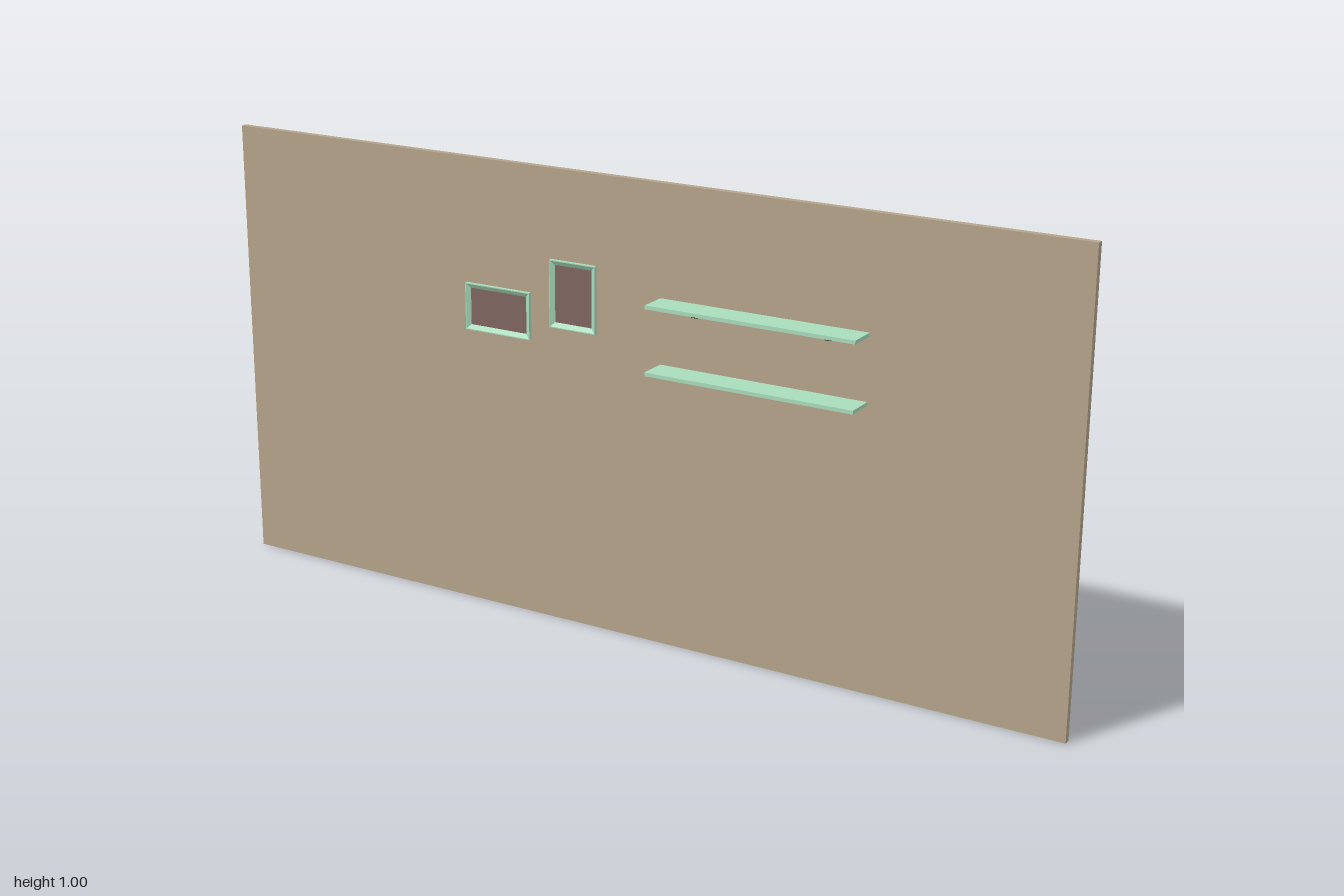
import * as THREE from 'three';

const mat = (color, extra = {}) => new THREE.MeshStandardMaterial({ color, ...extra });
const WALL_FRONT = -0.024;

function box(name, x0, x1, y0, y1, z0, z1, material) {
  const mesh = new THREE.Mesh(new THREE.BoxGeometry(x1 - x0, y1 - y0, z1 - z0), material);
  mesh.position.set((x0 + x1) / 2, (y0 + y1) / 2, (z0 + z1) / 2);
  mesh.name = name;
  return mesh;
}

// Rectangular moulding: straight outer sides, inner face sloping back to the picture
function mouldingGeometry(w, h, depth, border) {
  const section = [[0, 0], [0, depth], [0.002, depth], [border, 0.002]]; // inset, z
  const corners = [[-1, -1], [1, -1], [1, 1], [-1, 1]];
  const point = (c, [inset, z]) => [c[0] * (w / 2 - inset), c[1] * (h / 2 - inset), z];
  const positions = [];
  for (let s = 0; s < section.length - 1; s++) {
    for (let i = 0; i < 4; i++) {
      const a = point(corners[i], section[s]);
      const b = point(corners[(i + 1) % 4], section[s]);
      const c = point(corners[(i + 1) % 4], section[s + 1]);
      const d = point(corners[i], section[s + 1]);
      positions.push(...a, ...b, ...c, ...a, ...c, ...d);
    }
  }
  const geometry = new THREE.BufferGeometry();
  geometry.setAttribute('position', new THREE.Float32BufferAttribute(positions, 3));
  geometry.computeVertexNormals();
  return geometry;
}

// Curved strap running from the shelf's underside down and back to the wall
function bracketGeometry(width) {
  const shape = new THREE.Shape();
  shape.absarc(0, 0, 0.018, -Math.PI * 0.62, Math.PI * 0.1, false);
  shape.absarc(0, 0, 0.012, Math.PI * 0.1, -Math.PI * 0.62, true);
  shape.closePath();
  const geometry = new THREE.ExtrudeGeometry(shape, { depth: width, bevelEnabled: false, curveSegments: 12 });
  geometry.translate(0, 0, -width / 2);
  geometry.rotateY(-Math.PI / 2); // profile x becomes +z
  return geometry;
}

export function createModel() {
  const model = new THREE.Group();
  model.name = 'wallWithShelves';
  const wallMat = mat(0xb5a48b);
  const greenMat = mat(0xa8dcbc);
  const pictureMat = mat(0x806560);
  const darkMat = mat(0x2e2a24);

  model.add(box('wall', -1, 1, 0, 1, -0.039, WALL_FRONT, wallMat));

  // Picture frames
  const frames = [
    ['wideFrame', -0.396, -0.233, 0.624, 0.727],
    ['tallFrame', -0.182, -0.07, 0.661, 0.807],
  ];
  for (const [name, x0, x1, y0, y1] of frames) {
    const frame = new THREE.Group();
    frame.name = name;
    const moulding = new THREE.Mesh(mouldingGeometry(x1 - x0, y1 - y0, 0.008, 0.011), greenMat);
    moulding.name = 'moulding';
    const picture = new THREE.Mesh(new THREE.PlaneGeometry(x1 - x0 - 0.02, y1 - y0 - 0.02), pictureMat);
    picture.position.z = 0.002;
    picture.name = 'picture';
    frame.add(moulding, picture);
    frame.position.set((x0 + x1) / 2, (y0 + y1) / 2, WALL_FRONT);
    model.add(frame);
  }

  // Shelves, each on two brackets
  const strap = bracketGeometry(0.01);
  const shelves = [
    ['upperShelf', 0.761, [0.167, 0.467]],
    ['lowerShelf', 0.62, [0.168, 0.472]],
  ];
  for (const [name, top, bracketXs] of shelves) {
    const shelf = new THREE.Group();
    shelf.name = name;
    shelf.add(box('board', 0.083, 0.552, top - 0.008, top, WALL_FRONT, 0.039, greenMat));
    for (const x of bracketXs) {
      const bracket = new THREE.Mesh(strap, darkMat);
      bracket.position.set(x, top - 0.0105, -0.021);
      bracket.name = 'bracket';
      shelf.add(bracket);
    }
    model.add(shelf);
  }
  return model;
}
